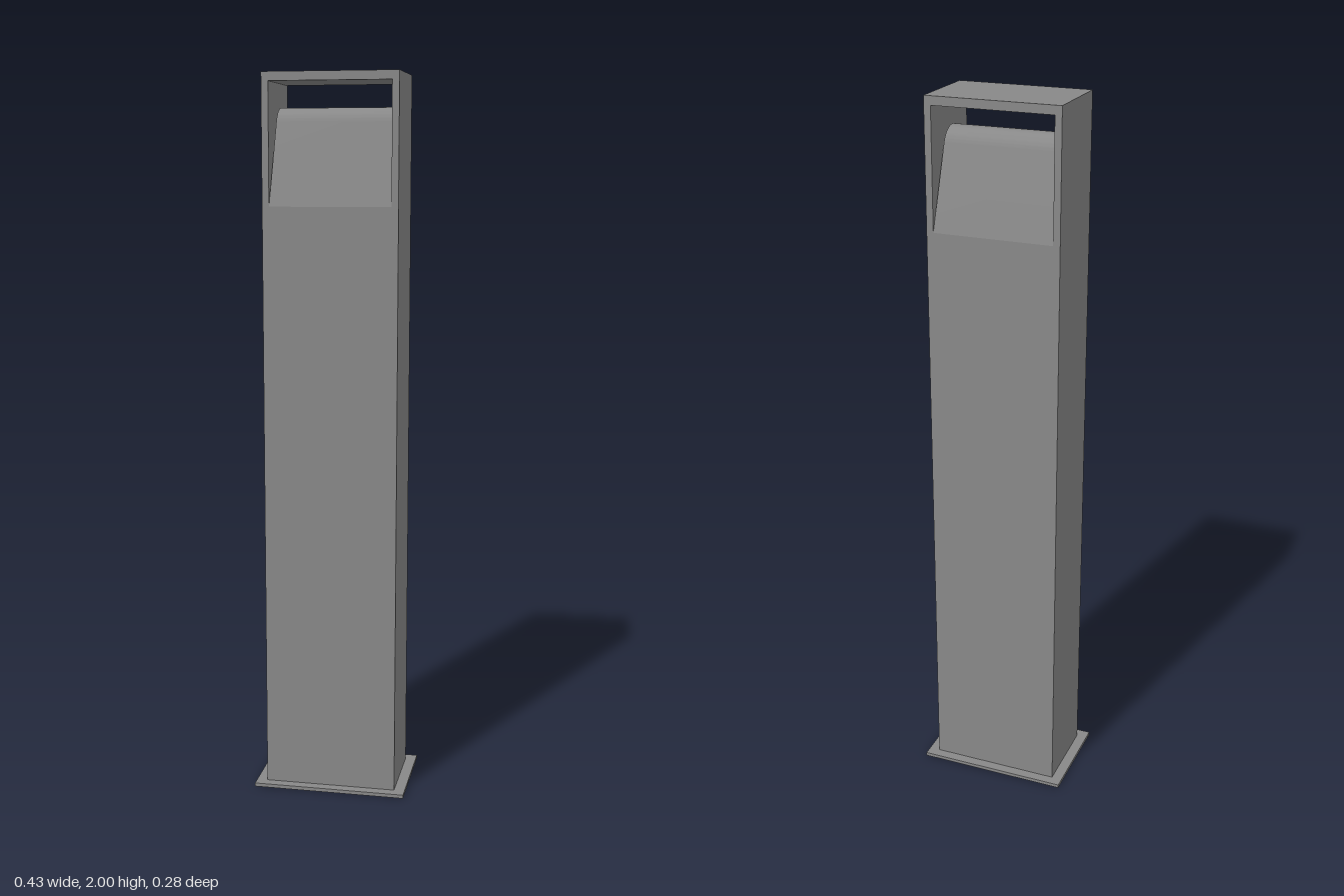
import * as THREE from 'three';
import { toCreasedNormals } from 'three/addons/utils/BufferGeometryUtils.js';

const DEPTH = 0.228, HALF_W = 0.185, TOP = 2, PLATE = 0.01;
const OPEN_W = 0.166, OPEN_BOTTOM = 1.648, OPEN_TOP = 1.976, CREST = 1.91;

function rectangle(target, halfWidth, bottom, top) {
  target.moveTo(-halfWidth, bottom);
  target.lineTo(halfWidth, bottom);
  target.lineTo(halfWidth, top);
  target.lineTo(-halfWidth, top);
  target.closePath();
  return target;
}

export function createModel() {
  const group = new THREE.Group();
  const material = new THREE.MeshStandardMaterial({ color: 0x888888 });
  const add = (name, geometry) => {
    const mesh = new THREE.Mesh(geometry, material);
    mesh.name = name;
    group.add(mesh);
    return mesh;
  };

  // Thin mounting plate on the ground
  add('basePlate', new THREE.BoxGeometry(0.43, PLATE, 0.285)).position.y = PLATE / 2;

  // Rectangular column with a window right through its head
  const outline = rectangle(new THREE.Shape(), HALF_W, PLATE, TOP);
  outline.holes.push(rectangle(new THREE.Path(), OPEN_W, OPEN_BOTTOM, OPEN_TOP));
  const column = new THREE.ExtrudeGeometry(outline, { depth: DEPTH, bevelEnabled: false });
  column.translate(0, 0, -DEPTH / 2);
  add('column', column);

  // Sloping wedge with a rounded crest, standing in the window
  const radius = 0.053, tangent = 0.275;
  const profile = new THREE.Shape();
  profile.moveTo(-DEPTH / 2, OPEN_BOTTOM);
  profile.lineTo(DEPTH / 2, OPEN_BOTTOM);
  profile.absarc(0, CREST - radius, radius, tangent, Math.PI - tangent, false);
  profile.closePath();
  const wedge = new THREE.ExtrudeGeometry(profile, {
    depth: 2 * OPEN_W, bevelEnabled: false, curveSegments: 16,
  });
  wedge.translate(0, 0, -OPEN_W);
  wedge.rotateY(-Math.PI / 2);

  // Narrow the wedge slightly towards the crest
  const pos = wedge.attributes.position;
  for (let i = 0; i < pos.count; i++) {
    const t = (pos.getY(i) - OPEN_BOTTOM) / (CREST - OPEN_BOTTOM);
    pos.setX(i, pos.getX(i) * (1 - 0.05 * t));
  }
  add('lampWedge', toCreasedNormals(wedge, 0.5));

  return group;
}
